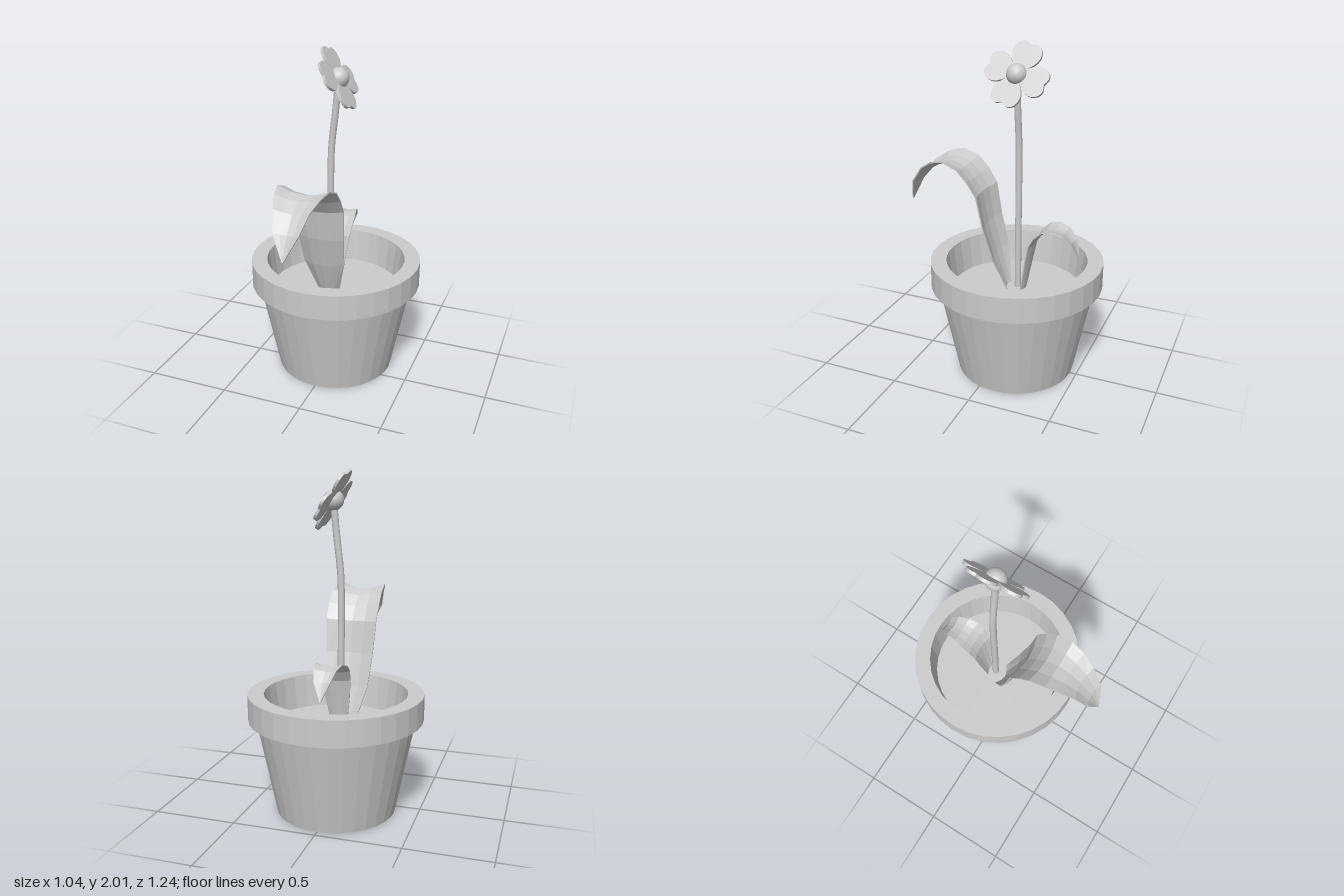
import * as THREE from 'three';

const material = new THREE.MeshStandardMaterial({ color: 0xcccccc, flatShading: true });
const smooth = new THREE.MeshStandardMaterial({ color: 0xcccccc });
const leafMaterial = new THREE.MeshStandardMaterial({ color: 0xcccccc, flatShading: true, side: THREE.DoubleSide });

const CENTRE_Z = -0.1;
const STEM_X = -0.03;
const SOIL_Y = 0.52;

function addMesh(parent, name, geometry, mat = material) {
  const mesh = new THREE.Mesh(geometry, mat);
  mesh.name = name;
  parent.add(mesh);
  return mesh;
}

// Arching leaf: each row is [z, y, half width, edge curl]; dir is +1 forward, -1 backward
function leafGeometry(rows, dir, thickness) {
  const across = [-1, -0.5, 0, 0.5, 1];
  const ring = across.length * 2;
  const positions = [];
  rows.forEach(([z, y, half, curl], i) => {
    const a = rows[Math.max(i - 1, 0)];
    const b = rows[Math.min(i + 1, rows.length - 1)];
    const len = Math.hypot(b[0] - a[0], b[1] - a[1]);
    const nz = (-dir * (b[1] - a[1])) / len;
    const ny = (dir * (b[0] - a[0])) / len;
    const point = (t, drop) => {
      const lift = curl * t * t - drop;
      positions.push(STEM_X + t * half, y + ny * lift, z + nz * lift);
    };
    across.forEach((t) => point(t, 0));
    [...across].reverse().forEach((t) => point(t, thickness));
  });
  const index = [];
  for (let i = 0; i < rows.length - 1; i++) {
    for (let j = 0; j < ring; j++) {
      const a = i * ring + j;
      const b = i * ring + ((j + 1) % ring);
      if (dir > 0) index.push(a, a + ring, b, b, a + ring, b + ring);
      else index.push(a, b, a + ring, b, b + ring, a + ring);
    }
  }
  const geometry = new THREE.BufferGeometry();
  geometry.setAttribute('position', new THREE.Float32BufferAttribute(positions, 3));
  geometry.setIndex(index);
  geometry.computeVertexNormals();
  return geometry;
}

// Heart-shaped petal pointing along +x
function petalGeometry() {
  const depth = 0.016;
  const shape = new THREE.Shape();
  shape.moveTo(0, -0.025);
  shape.bezierCurveTo(0.05, -0.03, 0.07, -0.085, 0.12, -0.088);
  shape.bezierCurveTo(0.17, -0.092, 0.2, -0.05, 0.185, -0.02);
  shape.lineTo(0.177, 0);
  shape.lineTo(0.185, 0.02);
  shape.bezierCurveTo(0.2, 0.05, 0.17, 0.092, 0.12, 0.088);
  shape.bezierCurveTo(0.07, 0.085, 0.05, 0.03, 0, 0.025);
  return new THREE.ExtrudeGeometry(shape, { depth, bevelEnabled: false, curveSegments: 6 })
    .translate(0, 0, -depth / 2);
}

export function createModel() {
  const model = new THREE.Group();
  model.name = 'pottedFlower';

  // Pot with overhanging rim and inner wall
  const profile = [[0, 0], [0.36, 0], [0.475, 0.57], [0.52, 0.57], [0.52, 0.725], [0.425, 0.725], [0.4, SOIL_Y]];
  const pot = addMesh(model, 'pot', new THREE.LatheGeometry(profile.map(([r, y]) => new THREE.Vector2(r, y)), 32));
  pot.position.z = CENTRE_Z;

  // Soil
  const soil = addMesh(model, 'soil', new THREE.CircleGeometry(0.402, 32).rotateX(-Math.PI / 2));
  soil.position.set(0, SOIL_Y, CENTRE_Z);

  // Large leaf arching over the front of the rim
  addMesh(model, 'largeLeaf', leafGeometry([
    [-0.03, 0.51, 0.07, 0.03], [0.045, 0.725, 0.128, 0.03], [0.1, 0.92, 0.145, 0.03],
    [0.135, 1.11, 0.155, 0.03], [0.19, 1.19, 0.157, 0.032], [0.25, 1.25, 0.157, 0.035],
    [0.33, 1.28, 0.152, 0.035], [0.4, 1.265, 0.133, 0.033], [0.475, 1.22, 0.105, 0.03],
    [0.555, 1.13, 0.075, 0.02], [0.617, 1.0, 0.004, 0],
  ], 1, 0.008), leafMaterial);

  // Small leaf arching backwards
  addMesh(model, 'smallLeaf', leafGeometry([
    [-0.14, 0.51, 0.045, 0.015], [-0.18, 0.725, 0.075, 0.015], [-0.2, 0.825, 0.085, 0.015],
    [-0.235, 0.885, 0.092, 0.016], [-0.28, 0.925, 0.092, 0.016], [-0.33, 0.938, 0.08, 0.016],
    [-0.39, 0.925, 0.066, 0.014], [-0.44, 0.875, 0.048, 0.01], [-0.482, 0.78, 0.004, 0],
  ], -1, 0.006), leafMaterial);

  // Gently bent stem
  const stemPath = new THREE.CatmullRomCurve3(
    [[-0.03, 0.5], [-0.03, 0.9], [-0.032, 1.28], [-0.026, 1.45], [-0.005, 1.63], [0.013, 1.82]]
      .map(([x, y]) => new THREE.Vector3(x, y, CENTRE_Z + 0.004)),
  );
  addMesh(model, 'stem', new THREE.TubeGeometry(stemPath, 20, 0.02, 10), smooth);

  // Tilted blossom: petal plane spanned by world z and the uphill slope
  const flower = new THREE.Group();
  flower.name = 'flower';
  const side = new THREE.Vector3(0, 0, 1);
  const uphill = new THREE.Vector3(-0.518, 0.855, 0).normalize();
  const basis = new THREE.Matrix4().makeBasis(side, uphill, side.clone().cross(uphill));
  flower.quaternion.setFromRotationMatrix(basis);
  flower.position.set(0.015, 1.837, CENTRE_Z + 0.004);
  model.add(flower);

  const petal = petalGeometry();
  for (let i = 0; i < 4; i++) {
    addMesh(flower, 'petal', petal).rotation.z = THREE.MathUtils.degToRad(17) + (i * Math.PI) / 2;
  }
  addMesh(flower, 'flowerCentre', new THREE.SphereGeometry(0.06, 20, 14), smooth);

  return model;
}
